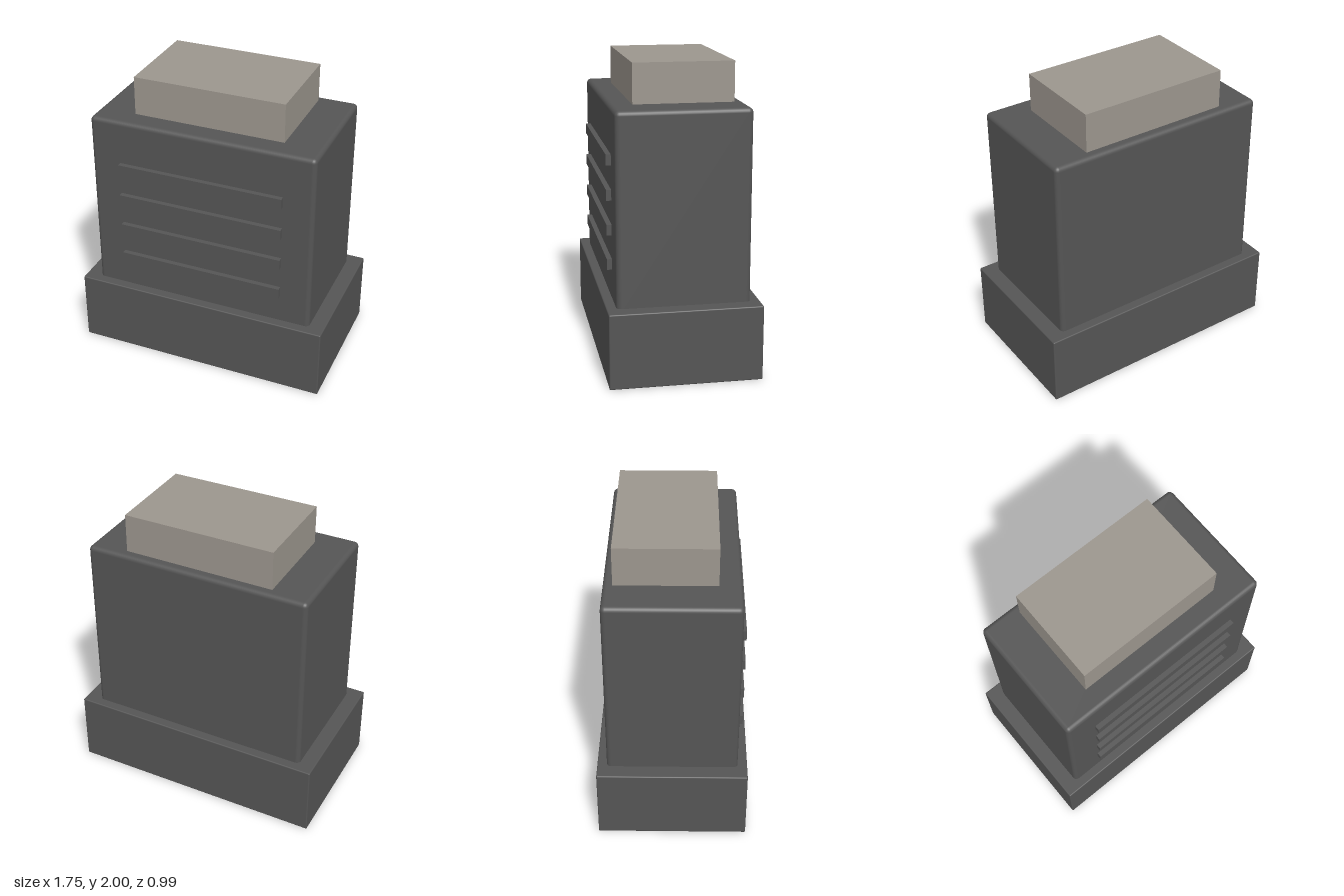
import * as THREE from 'three';
import { RoundedBoxGeometry } from 'three/addons/geometries/RoundedBoxGeometry.js';

export function createModel() {
  const model = new THREE.Group();
  model.name = 'plugHousing';

  const darkPlastic = new THREE.MeshStandardMaterial({ color: 0x555555 });
  darkPlastic.name = 'dark plastic';
  const warmMetal = new THREE.MeshStandardMaterial({ color: 0x9c968e });
  warmMetal.name = 'warm grey metal';

  // Box given by its lower and upper corners, with optional rounded edges
  function addBox(name, material, [x0, y0, z0], [x1, y1, z1], radius = 0) {
    const size = [x1 - x0, y1 - y0, z1 - z0];
    const geometry = radius
      ? new RoundedBoxGeometry(...size, 3, radius)
      : new THREE.BoxGeometry(...size);
    const mesh = new THREE.Mesh(geometry, material);
    mesh.name = name;
    mesh.position.set((x0 + x1) / 2, (y0 + y1) / 2, (z0 + z1) / 2);
    model.add(mesh);
  }

  // Wide foot and the main housing, which sits slightly inside it
  addBox('base', darkPlastic, [-0.873, 0, -0.493], [0.873, 0.495, 0.493], 0.008);
  addBox('body', darkPlastic, [-0.77, 0.44, -0.43], [0.77, 1.74, 0.43], 0.03);

  // Connector block on top, set towards the back
  addBox('connector', warmMetal, [-0.513, 1.72, -0.368], [0.513, 2, 0.285]);

  // Four grip ribs on the front
  for (let i = 0; i < 4; i++) {
    const y = 0.726 + i * 0.2265;
    addBox(`gripRib${i + 1}`, darkPlastic, [-0.565, y - 0.035, 0.42], [0.565, y + 0.035, 0.463]);
  }

  return model;
}
